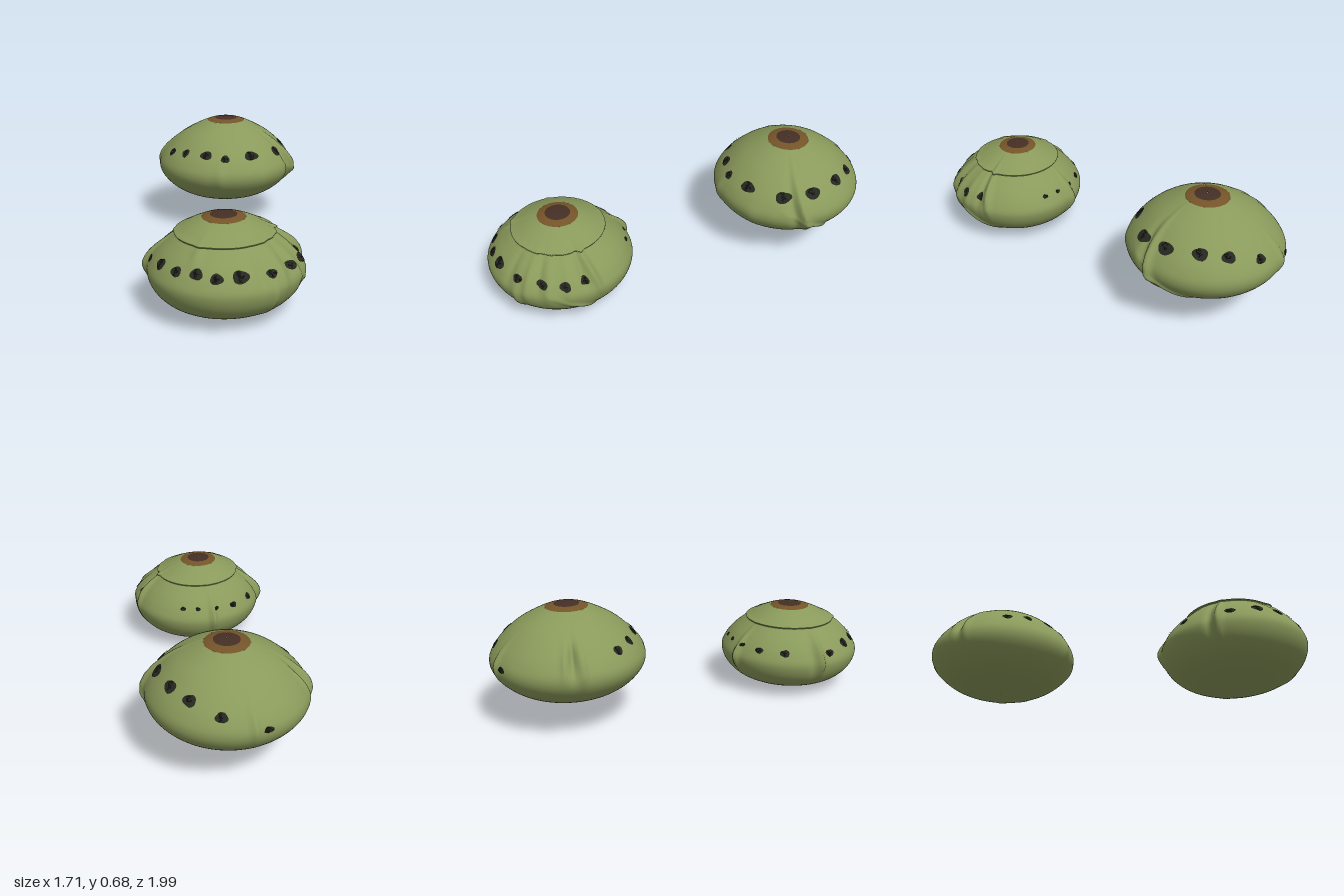
import * as THREE from 'three';
import { ParametricGeometry } from 'three/addons/geometries/ParametricGeometry.js';

const mat = (name, color, extra = {}) => {
  const m = new THREE.MeshStandardMaterial({ color, ...extra });
  m.name = name;
  return m;
};

// One squashed bun: a lathe-like skin with soft folds, a two-tone cap and a row of spots
function makeBun(spec, mats) {
  const { name, cx, cz, rx, rz, lean, profile, folds, spots, capY, ringY } = spec;
  const group = new THREE.Group();
  group.name = name;
  group.position.set(cx, 0, cz);
  const curve = new THREE.SplineCurve(profile.map(([r, y]) => new THREE.Vector2(r, y)));
  const p2 = new THREE.Vector2();

  const vAt = (y) => {
    let lo = 0, hi = 1;
    for (let i = 0; i < 20; i++) {
      const m = (lo + hi) / 2;
      if (curve.getPoint(m, p2).y > y) lo = m; else hi = m;
    }
    return (lo + hi) / 2;
  };

  // Point on the skin; each fold is [angle, width, height, centre y, y spread, slant]
  const skin = (t, v, out, lift = 0) => {
    curve.getPoint(v, p2);
    let r = p2.x;
    const y = p2.y;
    let d = 0;
    for (const [a, w, h, y0, sy, slant = 0] of folds) {
      const raw = t - a - slant * (y - y0);
      const dt = Math.atan2(Math.sin(raw), Math.cos(raw));
      d += h * Math.exp(-((dt / w) ** 2) - ((y - y0) / sy) ** 2);
    }
    r += d * Math.min(1, r * 4) + lift;
    return out.set(r * rx * Math.cos(t) + lean * (1 - v) ** 2, y, r * rz * Math.sin(t));
  };

  const band = (label, v0, v1, slices, stacks, m) => {
    const g = new ParametricGeometry(
      (u, v, out) => skin(u * Math.PI * 2, v0 + (v1 - v0) * v, out), slices, stacks);
    const mesh = new THREE.Mesh(g, m);
    mesh.name = label;
    group.add(mesh);
  };
  const va = vAt(capY), vb = vAt(ringY);
  band('capCentre', 0, va, 48, 6, mats.cap);
  band('capRing', va, vb, 48, 4, mats.ring);
  band('body', vb, 1, 180, 90, mats.skin);

  // Spots hug the skin: [x, z, y, half width, half height]
  spots.forEach(([x, z, y, hw, hh], i) => {
    const t0 = Math.atan2((z - cz) / rz, (x - cx) / rx);
    const g = new ParametricGeometry((u, v, out) => {
      const a = u * Math.PI * 2, k = 0.03 + 0.97 * v;
      const wob = k * (1 + 0.08 * Math.sin(3 * a + i));
      return skin(t0 + wob * (hw / 0.39) * Math.cos(a), vAt(y + wob * hh * Math.sin(a)), out, 0.005);
    }, 20, 4);
    const mesh = new THREE.Mesh(g, mats.spot);
    mesh.name = 'spot' + (i + 1);
    group.add(mesh);
  });
  return group;
}

export function createModel() {
  const mats = {
    skin: mat('moss green', 0x8a9a5b),
    ring: mat('ring brown', 0x755429),
    cap: mat('dark brown', 0x452f25),
    spot: mat('near black', 0x262720, { side: THREE.DoubleSide }),
  };

  const model = new THREE.Group();
  model.name = 'bunPair';

  // Upper bun, at the back
  model.add(makeBun({
    name: 'backBun', cx: -0.42, cz: -0.565, rx: 1, rz: 1, lean: 0.01,
    profile: [[0.002, 0.686], [0.06, 0.68], [0.12, 0.664], [0.2, 0.627], [0.28, 0.58], [0.35, 0.52],
      [0.405, 0.455], [0.434, 0.39], [0.42, 0.325], [0.36, 0.255], [0.27, 0.2], [0.15, 0.166], [0.002, 0.155]],
    capY: 0.678, ringY: 0.664,
    folds: [
      [-0.44, 0.06, 0.028, 0.42, 0.17, 0.6], [-0.3, 0.07, -0.022, 0.43, 0.13, 0.6],
      [2.72, 0.05, -0.035, 0.48, 0.07], [2.6, 0.05, 0.02, 0.46, 0.1], [2.84, 0.04, 0.012, 0.48, 0.07],
      [-2.4, 0.05, 0.016, 0.42, 0.09], [-0.8, 0.08, 0.016, 0.27, 0.1, 4],
      [1.0, 0.08, 0.008, 0.38, 0.1], [0.3, 0.12, 0.006, 0.36, 0.1],
    ],
    spots: [
      [-0.6, -0.185, 0.49, 0.03, 0.021], [-0.46, -0.18, 0.505, 0.028, 0.021], [-0.3, -0.19, 0.51, 0.041, 0.022],
      [-0.175, -0.24, 0.496, 0.028, 0.019], [-0.07, -0.39, 0.505, 0.05, 0.023], [-0.03, -0.62, 0.498, 0.05, 0.025],
      [-0.1, -0.79, 0.512, 0.05, 0.025], [-0.26, -0.91, 0.524, 0.046, 0.023], [-0.41, -0.955, 0.512, 0.04, 0.022],
      [-0.6, -0.95, 0.472, 0.032, 0.02], [-0.76, -0.79, 0.4, 0.025, 0.015],
    ],
  }, mats));

  // Lower bun, at the front, with a ledge around its crown
  model.add(makeBun({
    name: 'frontBun', cx: 0.452, cz: 0.575, rx: 0.975, rz: 1.01, lean: -0.02,
    profile: [[0.002, 0.512], [0.06, 0.508], [0.115, 0.493], [0.18, 0.466], [0.235, 0.438], [0.264, 0.424],
      [0.262, 0.413], [0.29, 0.39], [0.345, 0.342], [0.39, 0.285], [0.413, 0.225], [0.39, 0.15],
      [0.33, 0.085], [0.24, 0.04], [0.13, 0.01], [0.002, 0.002]],
    capY: 0.506, ringY: 0.493,
    folds: [
      [2.53, 0.05, 0.035, 0.27, 0.11], [2.66, 0.05, -0.015, 0.28, 0.1], [-2.4, 0.05, 0.028, 0.26, 0.1],
      [-0.88, 0.06, 0.03, 0.34, 0.1, 0.5], [-0.74, 0.06, -0.02, 0.34, 0.1],
      [-0.5, 0.07, 0.014, 0.3, 0.1], [-0.22, 0.07, 0.014, 0.29, 0.1], [-0.07, 0.06, -0.014, 0.33, 0.08],
      [0.1, 0.06, 0.014, 0.3, 0.1], [0.26, 0.06, 0.014, 0.17, 0.1], [0.42, 0.07, -0.012, 0.32, 0.08],
      [1.4, 0.1, 0.012, 0.4, 0.05], [-0.8, 0.08, 0.014, 0.11, 0.1, 4],
    ],
    spots: [
      [0.175, 0.86, 0.29, 0.03, 0.017], [0.31, 0.935, 0.315, 0.035, 0.023], [0.435, 0.965, 0.315, 0.033, 0.021],
      [0.55, 0.945, 0.323, 0.036, 0.022], [0.65, 0.91, 0.311, 0.034, 0.021], [0.74, 0.83, 0.316, 0.044, 0.026],
      [0.825, 0.68, 0.308, 0.032, 0.018], [0.835, 0.525, 0.306, 0.034, 0.02], [0.8, 0.4, 0.3, 0.03, 0.023],
      [0.74, 0.3, 0.302, 0.024, 0.02], [0.33, 0.2, 0.31, 0.018, 0.009], [0.24, 0.24, 0.31, 0.016, 0.009],
      [0.145, 0.32, 0.308, 0.015, 0.009], [0.08, 0.435, 0.3, 0.027, 0.014], [0.055, 0.6, 0.3, 0.028, 0.018],
    ],
  }, mats));

  return model;
}
